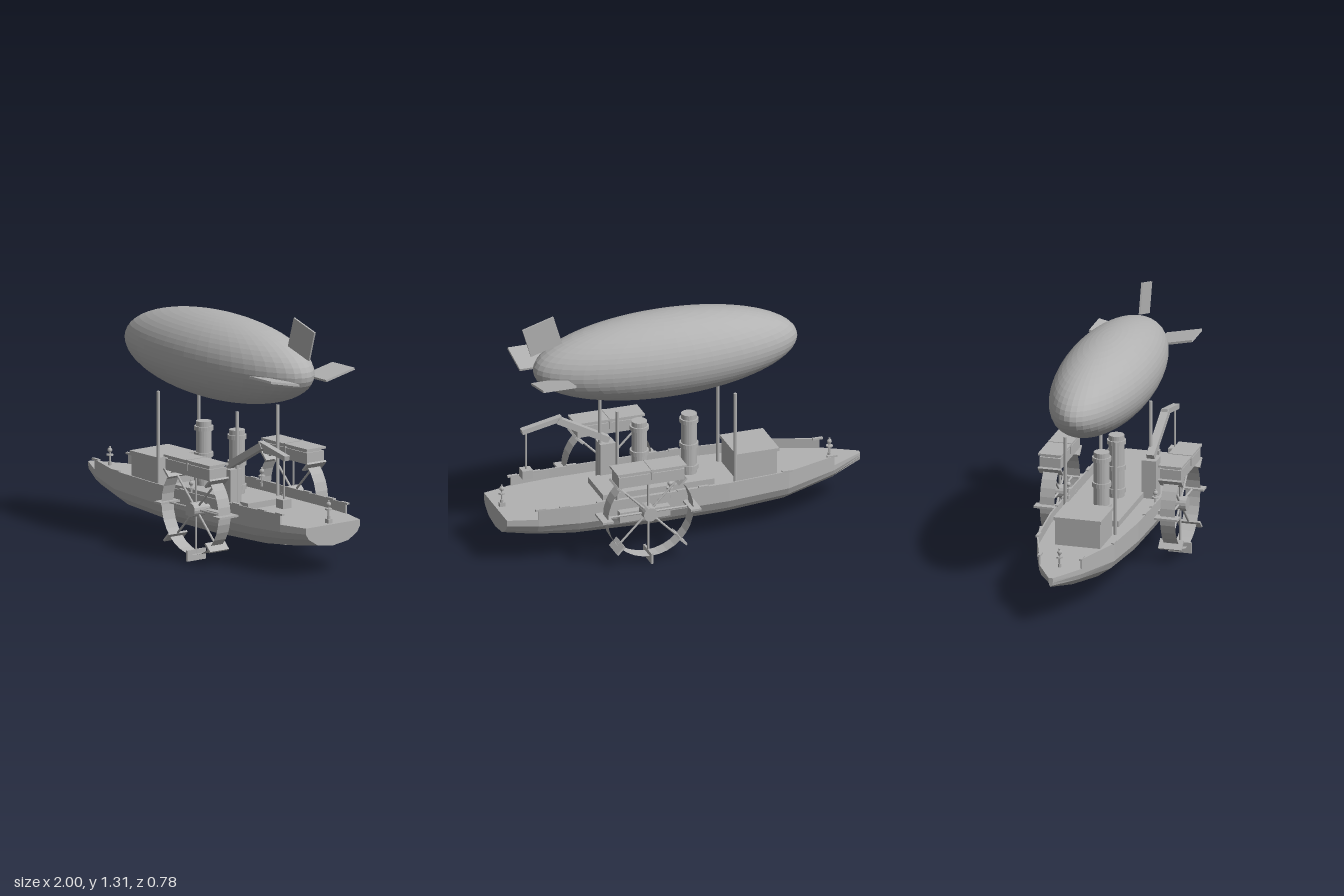
import * as THREE from 'three';

const grey = new THREE.MeshStandardMaterial({ color: 0xb2b2b2 });
grey.name = 'plain grey';
grey.flatShading = true;
grey.side = THREE.DoubleSide; // the wheel rims are open bands

function add(parent, name, geometry, x = 0, y = 0, z = 0) {
  const mesh = new THREE.Mesh(geometry, grey);
  mesh.name = name;
  mesh.position.set(x, y, z);
  parent.add(mesh);
  return mesh;
}

// Box given by its limits on each axis
function block(parent, name, [x0, x1], [y0, y1], [z0, z1]) {
  return add(parent, name, new THREE.BoxGeometry(x1 - x0, y1 - y0, z1 - z0),
    (x0 + x1) / 2, (y0 + y1) / 2, (z0 + z1) / 2);
}

function post(parent, name, r, y0, y1, x, z, sides = 12) {
  return add(parent, name, new THREE.CylinderGeometry(r, r, y1 - y0, sides), x, (y0 + y1) / 2, z);
}

// Beam between two points in the x-y plane
function beam(parent, name, a, b, height, width, z) {
  const length = Math.hypot(b[0] - a[0], b[1] - a[1]);
  const mesh = add(parent, name, new THREE.BoxGeometry(length, height, width),
    (a[0] + b[0]) / 2, (a[1] + b[1]) / 2, z);
  mesh.rotation.z = Math.atan2(b[1] - a[1], b[0] - a[0]);
  return mesh;
}

const DECK = 0.268;
// Hull stations: x, half width, keel height
const stations = [
  [-1, 0.012, 0.22], [-0.82, 0.115, 0.165], [-0.54, 0.21, 0.11], [-0.2, 0.24, 0.089],
  [0.2, 0.245, 0.085], [0.62, 0.241, 0.1], [0.84, 0.222, 0.127], [1, 0.18, 0.155],
];

function hullGeometry() {
  // Half section: share of half width, share of height
  const half = [[1, 1], [1, 0.72], [0.9, 0.45], [0.57, 0.13], [0, 0]];
  const section = [...half, ...half.slice(0, -1).reverse().map(([w, h]) => [-w, h])];
  const n = section.length, positions = [], index = [];
  for (const [x, w, keel] of stations)
    for (const [u, v] of section) positions.push(x, keel + (DECK - keel) * v, w * u);
  for (let i = 0; i < stations.length - 1; i++)
    for (let j = 0; j < n; j++) {
      const a = i * n + j, c = i * n + (j + 1) % n;
      index.push(a, c, a + n, c, c + n, a + n);
    }
  const last = (stations.length - 1) * n;
  for (let j = 1; j < n - 1; j++) {
    index.push(0, j + 1, j);
    index.push(last, last + j, last + j + 1);
  }
  const geometry = new THREE.BufferGeometry();
  geometry.setAttribute('position', new THREE.Float32BufferAttribute(positions, 3));
  geometry.setIndex(index);
  geometry.computeVertexNormals();
  return geometry;
}

function halfWidthAt(x) {
  const i = stations.findIndex((s, k) => k > 0 && s[0] >= x);
  const [a, b] = [stations[i - 1], stations[i]];
  return a[1] + (b[1] - a[1]) * (x - a[0]) / (b[0] - a[0]);
}

function addHull(root) {
  const group = new THREE.Group();
  group.name = 'hull';
  root.add(group);
  add(group, 'hullShell', hullGeometry());
  const rail = stations.slice(1, -1);
  for (const side of [-1, 1]) {
    // Low bulwark along the deck edge
    for (let i = 0; i < rail.length - 1; i++) {
      const [x0, w0] = rail[i], [x1, w1] = rail[i + 1];
      const wall = add(group, 'bulwark', new THREE.BoxGeometry(Math.hypot(x1 - x0, w1 - w0), 0.054, 0.008),
        (x0 + x1) / 2, DECK + 0.026, side * ((w0 + w1) / 2 - 0.004));
      wall.rotation.y = -side * Math.atan2(w1 - w0, x1 - x0);
    }
    // Small cleats on top of the bulwark
    for (const x of [-0.81, -0.53, -0.06, 0.06, 0.5, 0.7, 0.83])
      add(group, 'cleat', new THREE.BoxGeometry(0.055, 0.01, 0.016), x, 0.322, side * (halfWidthAt(x) - 0.006));
  }
}

function addLantern(root, x, y, z) {
  const group = new THREE.Group();
  group.name = 'lantern';
  group.position.set(x, y, z);
  root.add(group);
  post(group, 'lanternPole', 0.005, 0, 0.1, 0, 0, 8);
  post(group, 'lanternPlate', 0.018, 0.05, 0.058, 0, 0, 12);
  add(group, 'lanternLamp', new THREE.SphereGeometry(0.013, 10, 8), 0, 0.08, 0);
  post(group, 'lanternFoot', 0.01, 0, 0.018, 0, 0, 8);
}

function addFunnel(root, x) {
  const group = new THREE.Group();
  group.name = 'funnel';
  group.position.x = x;
  root.add(group);
  post(group, 'funnelPipe', 0.041, 0.29, 0.638, 0, 0, 20);
  for (const [y0, y1] of [[0.325, 0.35], [0.45, 0.474], [0.59, 0.612]])
    post(group, 'funnelBand', 0.05, y0, y1, 0, 0, 20);
}

function addPaddleWheel(root, side) {
  const group = new THREE.Group();
  group.name = side > 0 ? 'leftPaddleWheel' : 'rightPaddleWheel';
  group.position.set(0.275, 0.27, side * 0.325);
  root.add(group);
  const rim = add(group, 'wheelRim', new THREE.CylinderGeometry(0.235, 0.235, 0.08, 32, 1, true));
  rim.rotation.x = Math.PI / 2;
  const hub = add(group, 'wheelHub', new THREE.CylinderGeometry(0.038, 0.038, 0.08, 16));
  hub.rotation.x = Math.PI / 2;
  const axle = add(group, 'wheelAxle', new THREE.CylinderGeometry(0.018, 0.018, 0.12, 12), 0, 0, -side * 0.03);
  axle.rotation.x = Math.PI / 2;
  for (let i = 0; i < 8; i++) {
    const arm = new THREE.Group();
    arm.name = 'paddleArm';
    arm.rotation.z = i * Math.PI / 4;
    group.add(arm);
    post(arm, 'spoke', 0.006, 0.02, 0.24, 0, 0, 8);
    add(arm, 'paddle', new THREE.BoxGeometry(0.011, 0.058, 0.126), 0, 0.241, 0);
  }
  // Bearing block on the hull and cover above the wheel
  const z = (a, b) => [a, b].map(v => v * side).sort((p, q) => p - q);
  block(root, 'wheelBearing', [0.14, 0.415], [0.21, 0.266], z(0.22, 0.285));
  block(root, 'wheelCover', [0.095, 0.455], [0.455, 0.515], z(0.268, 0.382));
  block(root, 'coverNeck', [0.105, 0.445], [0.514, 0.528], z(0.275, 0.375));
  block(root, 'coverLid', [0.085, 0.465], [0.526, 0.537], z(0.262, 0.388));
}

function addCrane(root) {
  const group = new THREE.Group();
  group.name = 'crane';
  root.add(group);
  const z = 0.148;
  block(group, 'craneBase', [0.3, 0.385], [DECK, 0.475], [0.11, 0.186]);
  beam(group, 'lowerBoom', [0.33, 0.485], [0.61, 0.64], 0.035, 0.042, z);
  beam(group, 'upperBoom', [0.585, 0.648], [0.805, 0.602], 0.027, 0.034, z);
  post(group, 'hoistRope', 0.006, 0.38, 0.6, 0.78, z, 8);
  block(group, 'hoistWeight', [0.75, 0.808], [0.338, 0.385], [0.12, 0.176]);
}

function addBalloon(root) {
  const group = new THREE.Group();
  group.name = 'airship';
  root.add(group);
  const bag = new THREE.SphereGeometry(1, 48, 28);
  bag.scale(0.722, 0.227, 0.245);
  add(group, 'gasBag', bag, 0.068, 1.007, 0);
  const fin = add(group, 'upperFin', new THREE.BoxGeometry(0.178, 0.165, 0.01), 0.744, 1.204, 0);
  fin.rotation.z = -0.29;
  for (const side of [-1, 1]) {
    const wing = add(group, 'sideFin', new THREE.BoxGeometry(0.182, 0.012, 0.194), 0.744, 1.006, side * 0.184);
    wing.rotation.x = -side * 0.21;
  }
  // Struts between the deck and the gas bag
  for (const x of [-0.27, 0.378])
    for (const z of [-0.135, 0.135]) post(root, 'strut', 0.009, DECK, 0.778, x, z, 10);
}

export function createModel() {
  const root = new THREE.Group();
  root.name = 'paddleAirship';
  addHull(root);
  // Deck house, roof and funnel platform
  block(root, 'deckHouse', [-0.505, -0.285], [DECK, 0.41], [-0.122, 0.122]);
  block(root, 'houseRoof', [-0.515, -0.277], [0.405, 0.422], [-0.128, 0.128]);
  block(root, 'funnelPlatform', [-0.16, 0.45], [DECK, 0.3], [-0.12, 0.12]);
  addFunnel(root, -0.063);
  addFunnel(root, 0.21);
  for (const side of [-1, 1]) {
    addPaddleWheel(root, side);
    addLantern(root, 0.125, 0.29, side * 0.235);
  }
  addLantern(root, -0.835, DECK + 0.005, 0);
  addLantern(root, 0.965, DECK + 0.02, 0);
  block(root, 'sternLanternBase', [0.95, 0.98], [DECK, DECK + 0.022], [-0.012, 0.012]);
  addCrane(root);
  addBalloon(root);
  return root;
}
